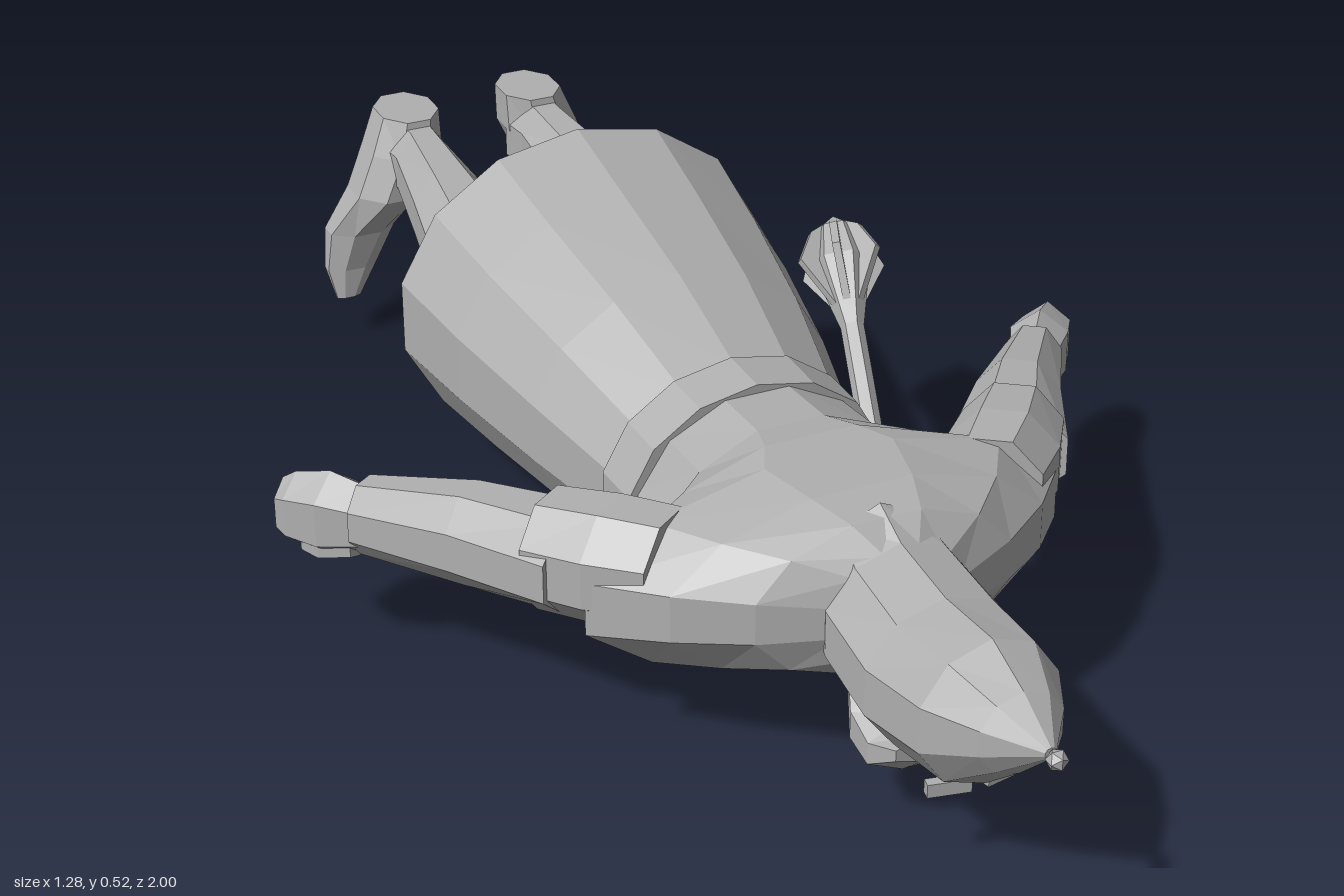
import * as THREE from 'three';

const V = (x, y, z) => new THREE.Vector3(x, y, z);
const X = V(1, 0, 0), Y = V(0, 1, 0), Z = V(0, 0, 1);

export function createModel() {
  const model = new THREE.Group();
  const grey = new THREE.MeshStandardMaterial({ color: 0xb0b0b0, flatShading: true, side: THREE.DoubleSide });
  grey.name = 'plain grey';

  const add = (name, geometry, parent = model) => {
    const mesh = new THREE.Mesh(geometry, grey);
    mesh.name = name;
    parent.add(mesh);
    return mesh;
  };

  // Skins oval rings [x, y, z, radius along side, radius along up], going along side x up
  function loft(name, rows, side, up, n = 8, capped = true) {
    const pos = [], index = [], k = 1 / Math.cos(Math.PI / n);
    for (const [x, y, z, rs, ru] of rows) {
      for (let j = 0; j < n; j++) {
        const a = (j + 0.5) / n * Math.PI * 2;
        pos.push(...V(x, y, z).addScaledVector(side, Math.cos(a) * rs * k).addScaledVector(up, Math.sin(a) * ru * k));
      }
    }
    for (let i = 0; i < rows.length - 1; i++) {
      for (let j = 0; j < n; j++) {
        const a = i * n + j, b = i * n + (j + 1) % n;
        index.push(a, b, a + n, b, b + n, a + n);
      }
    }
    if (capped) {
      const last = (rows.length - 1) * n;
      for (let j = 1; j < n - 1; j++) index.push(0, j + 1, j, last, last + j, last + j + 1);
    }
    const g = new THREE.BufferGeometry();
    g.setAttribute('position', new THREE.Float32BufferAttribute(pos, 3));
    g.setIndex(index);
    const flat = g.toNonIndexed();
    flat.computeVertexNormals();
    return add(name, flat);
  }

  // Robe: open skirt, belt and upper body with sloping shoulders
  loft('skirt', [
    [0, 0.275, -0.47, 0.295, 0.25], [0, 0.262, -0.3, 0.272, 0.226],
    [0, 0.245, -0.1, 0.235, 0.2], [0, 0.223, 0.09, 0.19, 0.163],
  ], X, Y, 14, false);
  loft('belt', [[0, 0.222, 0.07, 0.2, 0.172], [0, 0.222, 0.155, 0.198, 0.17]], X, Y, 14);
  loft('torso', [
    [0, 0.22, 0.14, 0.183, 0.162], [0, 0.226, 0.26, 0.19, 0.163],
    [0, 0.243, 0.32, 0.26, 0.157], [0, 0.25, 0.375, 0.36, 0.15],
    [0, 0.267, 0.47, 0.28, 0.132], [0, 0.275, 0.54, 0.19, 0.115], [0, 0.275, 0.585, 0.09, 0.085],
  ], X, Y, 12);

  // Pointed hood with a bead at its tip
  loft('hood', [
    [0, 0.27, 0.52, 0.09, 0.125], [0, 0.262, 0.58, 0.108, 0.105],
    [0, 0.245, 0.7, 0.113, 0.107], [0, 0.257, 0.82, 0.1, 0.104],
    [0, 0.275, 0.9, 0.06, 0.058], [0, 0.288, 0.97, 0.008, 0.008],
  ], X, Y, 10);
  add('hoodBead', new THREE.IcosahedronGeometry(0.015)).position.set(0, 0.288, 0.985);

  // Face, turned to the ground
  loft('beard', [
    [0, 0.17, 0.575, 0.07, 0.05], [0, 0.14, 0.62, 0.09, 0.05],
    [0, 0.125, 0.67, 0.09, 0.04], [0, 0.14, 0.71, 0.07, 0.02],
  ], X, Y, 8);
  const nose = add('nose', new THREE.ConeGeometry(0.022, 0.06, 4));
  nose.position.set(0, 0.125, 0.765);
  nose.rotation.x = Math.PI;
  for (const s of [1, -1]) {
    const brow = add('brow', new THREE.BoxGeometry(0.06, 0.02, 0.015));
    brow.position.set(s * 0.04, 0.14, 0.795);
    brow.rotation.y = s * 0.2;
  }

  for (const s of [1, -1]) {
    const label = s > 0 ? 'left' : 'right';

    // Arm: wide upper sleeve, forearm sleeve, hand and thumb
    const dir = V(s * 0.26, 0, -0.36).normalize();
    const side = Y.clone().cross(dir);
    loft(label + 'UpperSleeve', [
      [s * 0.24, 0.29, 0.39, 0.075, 0.08], [s * 0.3, 0.285, 0.325, 0.08, 0.085],
      [s * 0.36, 0.278, 0.25, 0.072, 0.082],
    ], side, Y);
    loft(label + 'Forearm', [
      [s * 0.335, 0.275, 0.285, 0.082, 0.07], [s * 0.43, 0.262, 0.145, 0.062, 0.07],
      [s * 0.535, 0.245, 0.01, 0.042, 0.055],
    ], side, Y);
    loft(label + 'Hand', [
      [s * 0.53, 0.24, 0.02, 0.035, 0.045], [s * 0.568, 0.235, -0.03, 0.044, 0.058],
      [s * 0.605, 0.232, -0.07, 0.036, 0.05], [s * 0.62, 0.23, -0.085, 0.024, 0.04],
    ], side, Y, 6);
    loft(label + 'Thumb', [
      [s * 0.55, 0.205, 0.015, 0.018, 0.02], [s * 0.585, 0.19, -0.025, 0.018, 0.018],
      [s * 0.605, 0.187, -0.05, 0.01, 0.012],
    ], side, Y, 5);

    // Leg, running up inside the skirt
    loft(label + 'Leg', [
      [s * 0.11, 0.32, -0.92, 0.05, 0.07], [s * 0.11, 0.325, -0.86, 0.046, 0.064],
      [s * 0.118, 0.31, -0.72, 0.062, 0.07], [s * 0.127, 0.295, -0.58, 0.08, 0.075],
      [s * 0.125, 0.285, -0.48, 0.074, 0.083], [s * 0.115, 0.26, -0.2, 0.09, 0.1],
    ], X, Y);

    // Boot, from pointed toe up to heel
    loft(label + 'Boot', [
      [s * 0.225, 0.08, -0.937, 0.008, 0.02], [s * 0.213, 0.13, -0.953, 0.024, 0.042],
      [s * 0.192, 0.195, -0.957, 0.04, 0.055], [s * 0.15, 0.27, -0.932, 0.068, 0.058],
      [s * 0.12, 0.34, -0.932, 0.068, 0.06], [s * 0.108, 0.4, -0.938, 0.062, 0.048],
    ], Z, X);
  }

  // Flanged mace hanging from the belt, built along +y and then tilted
  const mace = new THREE.Group();
  mace.name = 'mace';
  model.add(mace);
  const start = V(0.2, 0.04, 0.22), axis = V(0.345, 0.39, -0.285).sub(start);
  mace.position.copy(start);
  mace.quaternion.setFromUnitVectors(Y, axis.clone().normalize());
  const turned = (name, points, sides) =>
    add(name, new THREE.LatheGeometry(points.map(p => new THREE.Vector2(...p)), sides), mace);
  turned('maceShaft', [[0, 0], [0.018, 0], [0.018, 0.55], [0, 0.55]], 6);
  turned('macePommel', [[0, -0.025], [0.035, -0.01], [0.042, 0.01], [0.018, 0.035]], 6);
  turned('maceGuard', [[0.018, 0.165], [0.04, 0.175], [0.04, 0.195], [0.018, 0.205]], 6);
  turned('maceCore', [[0.018, 0.44], [0.045, 0.55], [0.03, 0.61], [0, 0.635]], 6);
  const flange = new THREE.Shape([[0, 0.44], [0.07, 0.55], [0.045, 0.6], [0, 0.63]].map(p => new THREE.Vector2(...p)));
  for (let i = 0; i < 6; i++) {
    const blade = add('maceFlange', new THREE.ExtrudeGeometry(flange, { depth: 0.012, bevelEnabled: false }).translate(0, 0, -0.006), mace);
    blade.rotation.y = i * Math.PI / 3;
  }
  return model;
}
